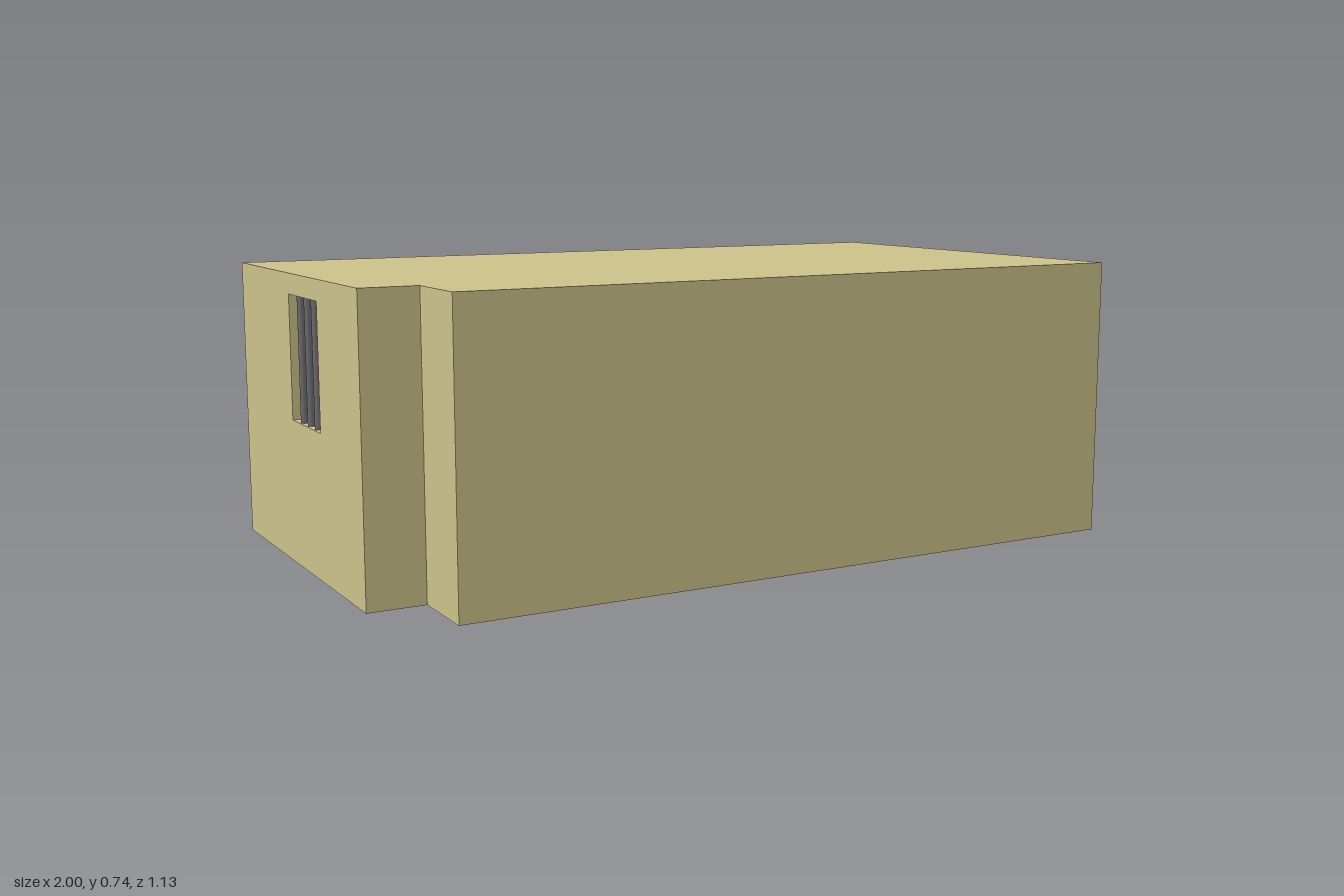
import * as THREE from 'three';
import { RoundedBoxGeometry } from 'three/addons/geometries/RoundedBoxGeometry.js';

const mat = (color) => new THREE.MeshStandardMaterial({ color, side: THREE.DoubleSide });
const M = {
  wall: mat(0xcbc18a), bar: mat(0x6c6c70), darkWood: mat(0x3a2517), wood: mat(0x6b4029),
  fabric: mat(0xcbc4d0), white: mat(0xe4e4e6), grey: mat(0x777779), brass: mat(0xc8a640),
};
const X = 1, Z = 0.565, Y0 = 0.005, Y1 = 0.735, T = 0.028;
const NX = -0.855, NZ = 0.375; // inner corner of the notch

export function createModel() {
  const root = new THREE.Group();

  const add = (name, geo, material, x = 0, y = 0, z = 0, parent = root) => {
    const m = new THREE.Mesh(geo, material);
    m.name = name;
    m.position.set(x, y, z);
    parent.add(m);
    return m;
  };
  // Box given by its minimum and maximum corners
  const box = (name, material, x0, x1, y0, y1, z0, z1, parent = root) =>
    add(name, new THREE.BoxGeometry(x1 - x0, y1 - y0, z1 - z0), material,
      (x0 + x1) / 2, (y0 + y1) / 2, (z0 + z1) / 2, parent);
  const group = (name) => {
    const g = new THREE.Group();
    g.name = name;
    root.add(g);
    return g;
  };

  // Wall panel with rectangular openings [u0, u1, v0, v1] cut through it
  const wall = (name, u0, u1, openings) => {
    const rect = (S, a, b, c, d) => {
      const s = new S();
      s.moveTo(a, c); s.lineTo(b, c); s.lineTo(b, d); s.lineTo(a, d); s.closePath();
      return s;
    };
    const shape = rect(THREE.Shape, u0, u1, Y0, Y1 - T);
    for (const o of openings) shape.holes.push(rect(THREE.Path, ...o));
    return add(name, new THREE.ExtrudeGeometry(shape, { depth: T, bevelEnabled: false }), M.wall);
  };

  // Outer walls: side walls are turned so that u runs along -z
  const win = { y0: 0.37, y1: 0.683 };
  wall('backWall', -X, X, [[-0.105, 0.12, win.y0, win.y1]]).position.z = -Z;
  const right = wall('ventWall', -Z, Z, [[0.195, 0.458, win.y0, win.y1], [-0.137, 0.036, 0.58, 0.638]]);
  right.rotation.y = Math.PI / 2;
  right.position.x = X - T;
  const left = wall('entryWall', -NZ, Z, [[-0.08, 0.143, win.y0, win.y1]]);
  left.rotation.y = Math.PI / 2;
  left.position.x = -X;
  box('frontWall', M.wall, NX, X, Y0, Y1 - T, Z - T, Z);
  box('notchSideWall', M.wall, NX, NX + T, Y0, Y1 - T, NZ - T, Z);
  box('notchFrontWall', M.wall, -X, NX + T, Y0, Y1 - T, NZ - T, NZ);

  // Flat roof following the notched outline
  const outline = new THREE.Shape([[-X, Z], [X, Z], [X, -Z], [NX, -Z], [NX, -NZ], [-X, -NZ]]
    .map(([x, y]) => new THREE.Vector2(x, y)));
  add('roof', new THREE.ExtrudeGeometry(outline, { depth: T, bevelEnabled: false }), M.wall, 0, Y1 - T, 0)
    .rotation.x = -Math.PI / 2;

  // Window bars and vent slats
  const barGeo = new THREE.CylinderGeometry(0.01, 0.01, win.y1 - win.y0, 12);
  const barY = (win.y0 + win.y1) / 2;
  for (let i = -1; i <= 1; i++) {
    add('backWindowBar', barGeo, M.bar, 0.0075 + i * 0.056, barY, -Z + T / 2);
    add('sideWindowBar', barGeo, M.bar, X - T / 2, barY, -0.326 + i * 0.066);
    add('entryWindowBar', barGeo, M.bar, -X + T / 2, barY, -0.032 + i * 0.056);
  }
  for (let i = 0; i < 5; i++)
    box('ventSlat', M.wall, X - T, X - 0.006, 0.58, 0.638, -0.011 + i * 0.029, -0.005 + i * 0.029);

  // Long low plank platform along the back wall
  const platform = group('platform');
  for (let i = 0; i < 5; i++)
    box('plank', M.darkWood, -0.968, 0.968, 0.12, 0.14, -0.533 + i * 0.07, -0.466 + i * 0.07, platform);
  for (const x of [-0.955, 0.955])
    for (const z of [-0.52, -0.2])
      box('platformLeg', M.wood, x - 0.01, x + 0.01, Y0, 0.12, z - 0.01, z + 0.01, platform);

  // Two floor mats
  const matGeo = new RoundedBoxGeometry(0.81, 0.038, 0.315, 3, 0.015);
  add('floorMat', matGeo, M.fabric, 0.565, 0.026, 0.345);
  add('floorMat', matGeo, M.fabric, 0.505, 0.026, -0.04);

  // Wardrobe with two doors
  const wardrobe = group('wardrobe');
  box('wardrobeBody', M.darkWood, -0.32, 0.07, Y0, 0.6, 0.345, 0.535, wardrobe);
  for (const [x0, x1, h] of [[-0.315, -0.127, -0.14], [-0.123, 0.065, -0.11]]) {
    box('wardrobeDoor', M.wood, x0, x1, 0.02, 0.59, 0.333, 0.345, wardrobe);
    box('doorHandle', M.darkWood, h - 0.004, h + 0.004, 0.42, 0.48, 0.325, 0.333, wardrobe);
  }

  // Small refrigerator
  const fridge = group('refrigerator');
  box('fridgeBody', M.white, -0.53, -0.335, 0.015, 0.45, 0.315, 0.53, fridge);
  box('fridgeBase', M.grey, -0.53, -0.335, Y0, 0.015, 0.315, 0.53, fridge);
  box('lowerDoor', M.white, -0.528, -0.337, 0.02, 0.225, 0.3, 0.315, fridge);
  box('upperDoor', M.white, -0.528, -0.337, 0.235, 0.448, 0.3, 0.315, fridge);
  for (const y of [0.17, 0.27])
    box('fridgeHandle', M.brass, -0.41, -0.37, y, y + 0.012, 0.288, 0.3, fridge);

  // Wooden table with a raised rail at one end
  const table = group('table');
  box('tableTop', M.wood, -0.595, -0.185, 0.255, 0.275, -0.125, 0.125, table);
  for (const z of [-0.1, 0.1]) {
    for (const x of [-0.565, -0.21]) {
      const leg = add('tableLeg', new THREE.CylinderGeometry(0.021, 0.015, 0.25, 4), M.wood, x, 0.13, z, table);
      leg.rotation.y = Math.PI / 4;
    }
    box('tableApron', M.wood, -0.565, -0.21, 0.225, 0.255, z - 0.006, z + 0.006, table);
    box('railPost', M.wood, -0.22, -0.2, 0.275, 0.335, z - 0.01, z + 0.01, table);
  }
  box('endRail', M.wood, -0.22, -0.2, 0.315, 0.335, -0.1, 0.1, table);

  // Washroom partitions
  box('partition', M.wall, -0.972, -0.75, Y0, Y1 - T, 0.09, 0.112);
  box('partition', M.wall, -0.735, -0.71, Y0, Y1 - T, 0.36, Z - T);

  // Lathe part from [radius, height] points
  const lathe = (name, pts, parent) =>
    add(name, new THREE.LatheGeometry(pts.map(([r, y]) => new THREE.Vector2(r, y)), 28), M.white, 0, 0, 0, parent);

  // Toilet facing into the room
  const toilet = group('toilet');
  toilet.position.set(-0.81, 0, 0.245);
  const pedestal = lathe('toiletBowl', [[0, 0], [0.046, 0], [0.044, 0.015], [0.032, 0.06], [0.04, 0.09],
    [0.062, 0.13], [0.068, 0.155], [0.055, 0.155], [0.04, 0.12], [0, 0.1]], toilet);
  pedestal.scale.x = 1.25;
  const seat = add('toiletSeat', new THREE.TorusGeometry(0.058, 0.011, 8, 28), M.white, 0, 0.16, 0, toilet);
  seat.rotation.x = Math.PI / 2;
  seat.scale.x = 1.25;
  add('toiletTank', new RoundedBoxGeometry(0.06, 0.15, 0.15, 3, 0.012), M.white, -0.115, 0.225, 0, toilet);
  add('tankLid', new RoundedBoxGeometry(0.068, 0.016, 0.158, 2, 0.006), M.white, -0.115, 0.306, 0, toilet);
  box('toiletNeck', M.white, -0.12, -0.05, 0.09, 0.155, -0.035, 0.035, toilet);

  // Wall basin with tap
  const basin = group('basin');
  basin.position.set(-0.66, 0.25, 0.435);
  lathe('basinBowl', [[0, 0], [0.025, 0.003], [0.05, 0.028], [0.058, 0.055], [0.05, 0.055],
    [0.04, 0.03], [0, 0.014]], basin);
  const tap = new THREE.CatmullRomCurve3([[-0.045, 0.05], [-0.045, 0.095], [-0.02, 0.1], [-0.012, 0.085]]
    .map(([x, y]) => new THREE.Vector3(x, y, 0)));
  add('tap', new THREE.TubeGeometry(tap, 12, 0.005, 8), M.grey, 0, 0, 0, basin);

  return root;
}
